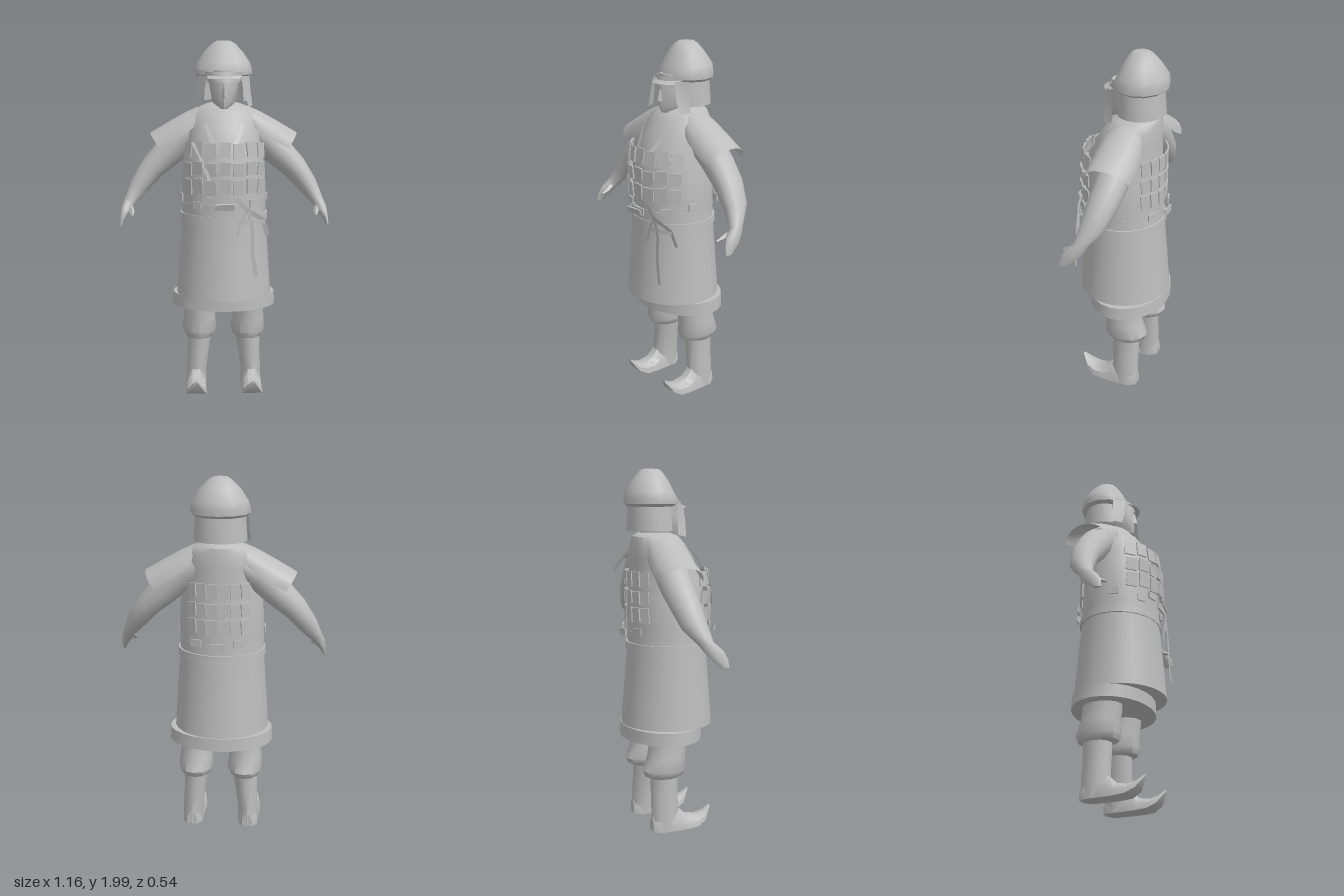
import * as THREE from 'three';
import { toCreasedNormals } from 'three/addons/utils/BufferGeometryUtils.js';

const grey = new THREE.MeshStandardMaterial({ color: 0xbdbdbd, side: THREE.DoubleSide });
grey.name = 'plain grey';

// Joins rings of [x, y, z] points; closed rings get end caps and outward faces.
function loft(rings, closed = true, crease = 0.7) {
  const n = rings[0].length, pos = rings.flat(2), idx = [];
  for (let r = 0; r < rings.length - 1; r++) {
    for (let i = 0; i < (closed ? n : n - 1); i++) {
      const a = r * n + i, b = r * n + (i + 1) % n;
      idx.push(a, b, b + n, a, b + n, a + n);
    }
  }
  if (closed) {
    const last = (rings.length - 1) * n;
    for (let i = 1; i < n - 1; i++) idx.push(0, i + 1, i, last, last + i, last + i + 1);
    const p = k => new THREE.Vector3().fromArray(pos, k * 3);
    let volume = 0;
    for (let i = 0; i < idx.length; i += 3) volume += p(idx[i]).dot(p(idx[i + 1]).cross(p(idx[i + 2])));
    if (volume < 0) idx.reverse();
  }
  const g = new THREE.BufferGeometry();
  g.setAttribute('position', new THREE.Float32BufferAttribute(pos, 3));
  g.setIndex(idx);
  return toCreasedNormals(g, crease);
}

// Horizontal oval: height, front z, back z, half width, centre x.
function oval(y, zf, zb, rx, cx = 0, n = 20) {
  return Array.from({ length: n }, (_, i) => {
    const a = i / n * Math.PI * 2;
    return [cx + Math.sin(a) * rx, y, (zf + zb) / 2 + Math.cos(a) * (zf - zb) / 2];
  });
}

export function createModel() {
  const model = new THREE.Group();
  model.name = 'armouredFigure';
  const add = (name, geometry) => {
    const m = new THREE.Mesh(geometry, grey);
    m.name = name;
    model.add(m);
    return m;
  };
  const ovals = (name, rows, cx = 0, n = 20) => add(name, loft(rows.map(r => oval(...r, cx, n))));

  // Body, skirt and belt
  ovals('torso', [
    [1.03, 0.205, -0.22, 0.232], [1.17, 0.205, -0.222, 0.235], [1.3, 0.2, -0.22, 0.23],
    [1.42, 0.18, -0.21, 0.21], [1.52, 0.135, -0.208, 0.198], [1.6, 0.085, -0.207, 0.187],
    [1.64, 0.05, -0.2, 0.14], [1.66, 0.01, -0.17, 0.085]]);
  ovals('skirt', [[0.595, 0.245, -0.262, 0.265], [0.8, 0.23, -0.245, 0.252], [1.03, 0.21, -0.225, 0.235], [1.12, 0.21, -0.222, 0.234]], 0, 28);
  ovals('skirtHem', [[0.52, 0.175, -0.266, 0.292], [0.592, 0.175, -0.262, 0.288]], 0, 24);
  ovals('belt', [[1.02, 0.216, -0.236, 0.246], [1.06, 0.214, -0.234, 0.244]], 0, 24);

  // Head
  ovals('head', [
    [1.58, 0.01, -0.15, 0.07], [1.62, 0.02, -0.15, 0.055], [1.635, 0.072, -0.15, 0.04],
    [1.67, 0.08, -0.16, 0.066], [1.75, 0.08, -0.18, 0.08], [1.84, 0.065, -0.2, 0.09]], 0, 14);
  add('nose', loft([
    [[-0.016, 1.695, 0.075], [0.016, 1.695, 0.075], [0, 1.7, 0.098]],
    [[-0.008, 1.76, 0.075], [0.008, 1.76, 0.075], [0, 1.76, 0.084]]]));

  // Helmet
  ovals('helmet', [
    [1.8, 0.02, -0.225, 0.14], [1.815, 0.047, -0.245, 0.16], [1.84, 0.047, -0.245, 0.161], [1.88, 0.025, -0.24, 0.15],
    [1.94, -0.005, -0.2, 0.11], [1.985, -0.035, -0.165, 0.065], [2, -0.055, -0.145, 0.04]], 0, 12);
  const arc = (y, rx, rz, from, to, n, cz) => Array.from({ length: n + 1 }, (_, i) => {
    const a = from + (to - from) * i / n;
    return [Math.sin(a) * rx, y, cz + Math.cos(a) * rz];
  });
  add('neckGuard', loft([arc(1.82, 0.135, 0.12, 0.85, 5.43, 14, -0.1), arc(1.67, 0.145, 0.13, 0.85, 5.43, 14, -0.1)], false));
  add('helmetBrim', loft([arc(1.815, 0.12, 0.12, -0.9, 0.9, 8, -0.06), arc(1.795, 0.125, 0.168, -0.8, 0.8, 8, -0.06)], false));
  add('browBand', loft([arc(1.83, 0.125, 0.14, -1, 1, 8, -0.07), arc(1.775, 0.105, 0.155, -1, 1, 8, -0.07)], false));

  // Parts made once for each side
  for (const s of [1, -1]) {
    const side = s > 0 ? 'left' : 'right';

    add(side + 'CheekFlap', loft([
      [[s * 0.09, 1.81, 0.055], [s * 0.14, 1.81, 0]],
      [[s * 0.11, 1.72, 0.06], [s * 0.148, 1.72, 0]],
      [[s * 0.135, 1.64, 0.055], [s * 0.158, 1.65, 0]]], false));

    // Arm: centre x, y, z, thickness across, depth
    const path = [
      [0.13, 1.53, -0.07, 0.08, 0.1], [0.22, 1.47, -0.07, 0.09, 0.095], [0.31, 1.385, -0.07, 0.083, 0.088],
      [0.4, 1.3, -0.06, 0.07, 0.082], [0.475, 1.2, -0.04, 0.055, 0.07], [0.525, 1.12, 0, 0.034, 0.042],
      [0.545, 1.08, 0.035, 0.03, 0.052], [0.562, 1.04, 0.062, 0.017, 0.046], [0.572, 0.995, 0.09, 0.007, 0.022]];
    add(side + 'Arm', loft(path.map(([x, y, z, a, b], i) => {
      const p = path[Math.max(i - 1, 0)], q = path[Math.min(i + 1, path.length - 1)];
      const l = Math.hypot(q[0] - p[0], q[1] - p[1]), ux = -(q[1] - p[1]) / l, uy = (q[0] - p[0]) / l;
      return Array.from({ length: 12 }, (_, k) => {
        const t = k / 6 * Math.PI;
        return [s * (x + ux * a * Math.cos(t)), y + uy * a * Math.cos(t), z + b * Math.sin(t)];
      });
    })));
    const thumb = [[0.525, 1.095, 0.03, 0.018], [0.51, 1.07, 0.075, 0.015], [0.505, 1.055, 0.118, 0.006]];
    add(side + 'Thumb', loft(thumb.map(([x, y, z, r]) => [[1, 0], [0, 1], [-1, 0], [0, -1]].map(
      ([a, b]) => [s * (x + a * r), y + b * r, z]))));

    // Shoulder guard: arched sheet over the upper arm
    const guard = [[0.13, 1.645, 0.02, -0.1, 0.105], [0.2, 1.615, 0, -0.11, 0.12], [0.3, 1.56, -0.03, -0.1, 0.125], [0.41, 1.495, -0.055, -0.078, 0.125]];
    add(side + 'ShoulderGuard', loft(guard.map(([x, y, dx, dy, rz]) => Array.from({ length: 11 }, (_, k) => {
      const t = (k / 10 - 0.5) * Math.PI, d = 1 - Math.cos(t);
      return [s * (x + dx * d), y + dy * d, -0.065 + rz * Math.sin(t)];
    })), false));

    // Trouser leg, boot shaft and curled foot
    ovals(side + 'TrouserLeg', [
      [0.315, 0.01, -0.17, 0.075], [0.325, 0.035, -0.19, 0.085], [0.355, 0.047, -0.203, 0.099], [0.43, 0.045, -0.175, 0.092],
      [0.5, 0.055, -0.165, 0.088], [0.56, 0.06, -0.165, 0.088]], s * 0.14, 12);
    add(side + 'BootShaft', loft([
      oval(0.01, 0, -0.16, 0.058, s * 0.16, 12), oval(0.12, 0, -0.16, 0.058, s * 0.158, 12),
      oval(0.22, 0, -0.158, 0.062, s * 0.148, 12), oval(0.34, 0, -0.158, 0.072, s * 0.14, 12)]));
    const foot = [[-0.158, 0.012, 0.09, 0.03], [-0.12, 0.008, 0.13, 0.054], [0, 0.01, 0.125, 0.059], [0.04, 0.012, 0.085, 0.06],
      [0.1, 0.018, 0.075, 0.061], [0.15, 0.045, 0.09, 0.048], [0.19, 0.108, 0.122, 0.012]];
    add(side + 'Foot', loft(foot.map(([z, lo, hi, w]) => [[-1, 0], [1, 0], [0.9, 0.55], [0.35, 1], [-0.35, 1], [-0.9, 0.55]].map(
      ([a, b]) => [s * 0.16 + a * w, lo + (hi - lo) * b, z]))));
  }

  // Rows of small armour plates, front and back
  const plate = (name, x, y, z, w, h, turn, tilt = 0, roll = 0) => {
    const m = add(name, new THREE.BoxGeometry(w, h, 0.008));
    m.position.set(x, y, z);
    m.rotation.set(tilt, turn, roll, 'YXZ');
  };
  [[1.415, 0.082, 0.212], [1.315, 0.072, 0.226], [1.22, 0.082, 0.228]].forEach(([y, h, rz], row) => {
    for (let i = 0; i < 7; i++) {
      const a = (i - 3) * 0.32;
      plate('frontPlate', Math.sin(a) * 0.24, y + (i % 2) * 0.008, Math.cos(a) * rz + 0.006, 0.062, h, a, row ? 0.06 : -0.12, (i % 3 - 1) * 0.07);
    }
    for (let i = 0; i < 6; i++) {
      const a = (i - 2.5) * 0.26;
      plate('backPlate', Math.sin(a) * 0.235, y, -Math.cos(a) * 0.23 - 0.005, 0.053, h, Math.PI - a, 0, 0.08);
    }
  });

  // Loose plates round the waist
  for (const [x, y, z, w, turn] of [[-0.15, 1.12, 0.175, 0.05, -0.6], [-0.09, 1.15, 0.215, 0.06, -0.3], [0, 1.115, 0.235, 0.09, 0],
    [0.16, 1.13, 0.17, 0.06, 0.7], [-0.235, 1.15, 0.04, 0.06, -1.4], [0.235, 1.15, 0.04, 0.06, 1.4],
    [-0.11, 1.13, -0.22, 0.06, 3.5], [0, 1.12, -0.262, 0.08, 3.14], [0.12, 1.13, -0.22, 0.06, 2.8]]) {
    plate('waistPlate', x, y, z, w, 0.04, turn);
  }
  plate('buckle', 0, 1.12, 0.262, 0.1, 0.035, 0.1, 0.3);

  // Flat ribbons along a few points: chest ties, sash knot and hanging tail
  const ribbon = (name, pts, w) => add(name, loft(pts.map(([x, y, z], i) => {
    const p = pts[Math.max(i - 1, 0)], q = pts[Math.min(i + 1, pts.length - 1)];
    const l = Math.hypot(q[0] - p[0], q[1] - p[1]), nx = -(q[1] - p[1]) / l * w / 2, ny = (q[0] - p[0]) / l * w / 2;
    return [[x - nx, y - ny, z], [x + nx, y + ny, z]];
  }), false));
  for (const s of [1, -1]) ribbon('chestTie', [[s * 0.1, 1.55, 0.115], [s * 0.075, 1.49, 0.16], [s * 0.05, 1.43, 0.205]], 0.024);
  ribbon('slackTie', [[-0.17, 1.46, 0.16], [-0.13, 1.38, 0.2], [-0.08, 1.26, 0.235]], 0.018);
  ribbon('sashTail', [[0.12, 1.11, 0.22], [0.15, 1.0, 0.222], [0.15, 0.86, 0.225], [0.17, 0.73, 0.228]], 0.022);
  ribbon('sashEnd', [[0.12, 1.1, 0.222], [0.08, 1.02, 0.224], [0.065, 0.95, 0.226]], 0.016);
  ribbon('sashKnot', [[0.06, 1.16, 0.225], [0.12, 1.1, 0.226], [0.21, 1.04, 0.18], [0.235, 0.95, 0.16]], 0.026);
  ribbon('sashLoop', [[0.07, 1.03, 0.228], [0.14, 1.035, 0.222], [0.22, 1.03, 0.18]], 0.02);
  return model;
}
